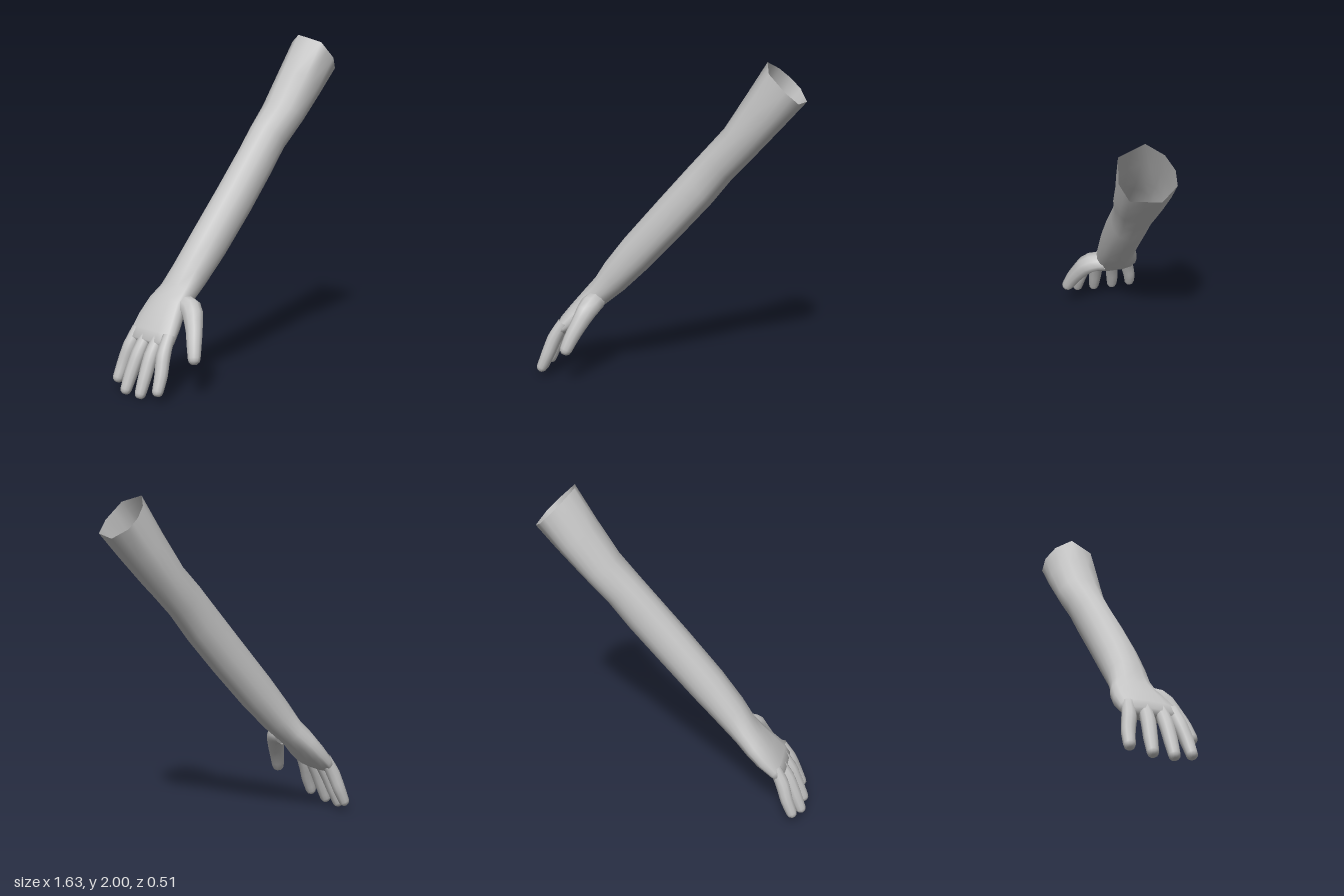
import * as THREE from 'three';

const skin = new THREE.MeshStandardMaterial({ color: 0xc4c4c4, side: THREE.DoubleSide });
skin.name = 'plain grey';

// Skin a list of rings; the last ring is closed with a centre point
function loft(name, rings) {
  const n = rings[0].length, index = [];
  const points = rings.flat();
  const last = rings[rings.length - 1];
  const tip = last.reduce((s, p) => s.add(p), new THREE.Vector3()).divideScalar(n);
  points.push(tip);
  for (let i = 0; i < rings.length; i++) {
    for (let j = 0; j < n; j++) {
      const a = i * n + j, b = i * n + (j + 1) % n;
      if (i === rings.length - 1) index.push(a, points.length - 1, b);
      else index.push(a, a + n, b, b, a + n, b + n);
    }
  }
  const g = new THREE.BufferGeometry().setFromPoints(points);
  g.setIndex(index);
  g.computeVertexNormals();
  const mesh = new THREE.Mesh(g, skin);
  mesh.name = name;
  return mesh;
}

// Angular open rim as [across, up] on a unit section, two samples per edge
const corners = [[-.08, 1], [.9, .64], [1, -.24], [.7, -.86], [-.4, -1], [-1, -.5], [-1, .02], [-.7, .56]];
const rim = corners.flatMap(([x, y], i) => {
  const [x2, y2] = corners[(i + 1) % corners.length];
  return [[x, y], [(x + x2) / 2, (y + y2) / 2]];
});

// Arm sections: upper x, y; lower x, y; back z, front z; squareness; rim blend
const sections = [
  [.59, 2, .813, 1.775, -.19, .117, 2, 1],
  [.46, 1.79, .695, 1.635, -.19, .108, 2, .7],
  [.34, 1.6, .55, 1.47, -.183, .095, 2, .3],
  [.235, 1.48, .4, 1.31, -.168, .068, 2.1, 0],
  [.13, 1.36, .28, 1.155, -.16, .065, 2.1, 0],
  [-.05, 1.15, .1, .95, -.16, .07, 2.1, 0],
  [-.27, .89, -.11, .72, -.166, .066, 2.1, 0],
  [-.4, .72, -.27, .56, -.176, .056, 2.1, 0],
  [-.47, .61, -.37, .475, -.195, .048, 2.2, 0],
  [-.53, .54, -.445, .41, -.225, .052, 2.4, 0],
  [-.6, .455, -.515, .345, -.236, .085, 2.6, 0],
  [-.66, .375, -.59, .29, -.23, .115, 2.8, 0],
  [-.69, .32, -.635, .262, -.222, .122, 2.8, 0],
];

function armRing([ux, uy, lx, ly, z0, z1, p, w]) {
  return rim.map(([rx, ry]) => {
    const k = (Math.abs(rx) ** p + Math.abs(ry) ** p) ** (-1 / p);
    const f = w + (1 - w) * k;
    const v = rx * f, s = ry * f;
    return new THREE.Vector3(
      (ux + lx) / 2 + s * (ux - lx) / 2,
      (uy + ly) / 2 + s * (uy - ly) / 2,
      (z0 + z1) / 2 + v * (z1 - z0) / 2);
  });
}

// Tapered digit along a curve with a blunt rounded tip
function digit(name, path, radii) {
  const curve = new THREE.CatmullRomCurve3(path.map(p => new THREE.Vector3(...p)));
  const rings = [], steps = 9, sides = 10;
  const addRing = (c, d, r) => {
    const up = new THREE.Vector3(-.8, .6, 0);
    up.addScaledVector(d, -up.dot(d)).normalize();
    const side = new THREE.Vector3().crossVectors(up, d);
    rings.push(Array.from({ length: sides }, (_, j) => {
      const a = j / sides * Math.PI * 2;
      return c.clone().addScaledVector(up, r * Math.cos(a)).addScaledVector(side, r * Math.sin(a));
    }));
  };
  for (let i = 0; i <= steps; i++) {
    const u = i / steps, q = u * (radii.length - 1);
    const k = Math.min(Math.floor(q), radii.length - 2);
    addRing(curve.getPoint(u), curve.getTangent(u), THREE.MathUtils.lerp(radii[k], radii[k + 1], q - k));
  }
  const end = curve.getPoint(1), dir = curve.getTangent(1), r = radii[radii.length - 1];
  for (const [along, size] of [[.5, .85], [.85, .45]])
    addRing(end.clone().addScaledVector(dir, r * along), dir, r * size);
  return loft(name, rings);
}

export function createModel() {
  const model = new THREE.Group();
  model.name = 'arm';
  model.add(loft('armAndPalm', sections.map(armRing)));

  // Fingers: name, base z, tip z, tip x, tip y
  const fingers = [
    ['indexFinger', .078, .125, -.757, .065],
    ['middleFinger', .005, .01, -.786, .034],
    ['ringFinger', -.088, -.113, -.786, .034],
    ['littleFinger', -.182, -.226, -.745, .072],
  ];
  for (const [name, zb, zt, x, y] of fingers) {
    const mid = f => zb + (zt - zb) * f;
    model.add(digit(name, [
      [-.625, .355, zb],
      [x * .5 - .305, y * .4 + .225, mid(.35)],
      [x + .035, y + .085, mid(.8)],
      [x, y, zt],
    ], [.036, .042, .039, .033]));
  }

  // Thumb with a thick root
  model.add(digit('thumb', [
    [-.44, .49, .0],
    [-.455, .475, .085],
    [-.495, .39, .148],
    [-.535, .305, .19],
    [-.562, .235, .218],
  ], [.06, .066, .052, .045, .038]));
  return model;
}
